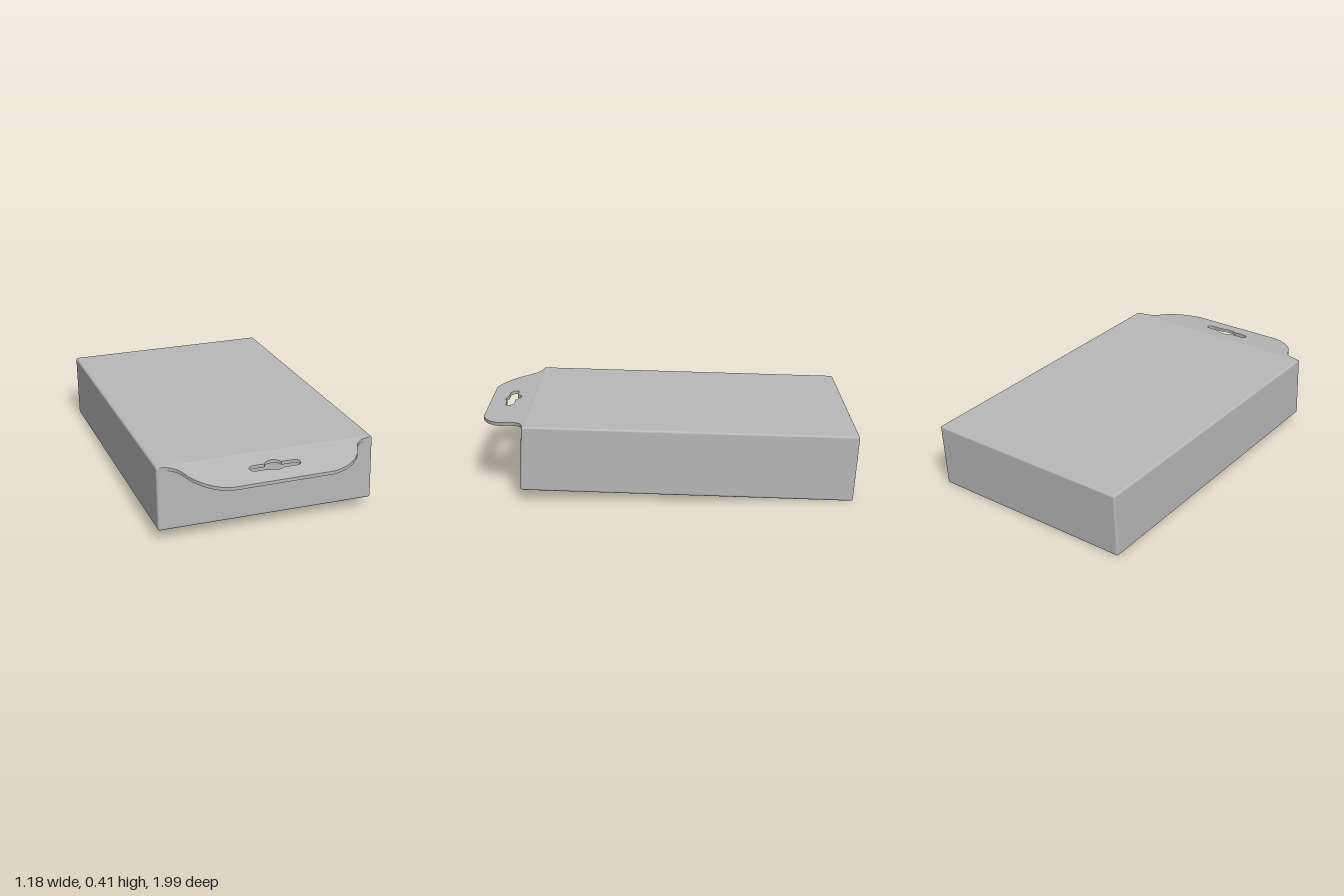
import * as THREE from 'three';
import { RoundedBoxGeometry } from 'three/addons/geometries/RoundedBoxGeometry.js';

const mix = THREE.MathUtils.lerp;

// Move every vertex of a geometry by a rule
function warp(geometry, rule) {
  const p = geometry.attributes.position;
  const v = new THREE.Vector3();
  for (let i = 0; i < p.count; i++) {
    v.fromBufferAttribute(p, i);
    rule(v);
    p.setXYZ(i, v.x, v.y, v.z);
  }
  return geometry;
}

// Carton: a softly rounded box, tilted up at the front and slightly skewed
function cartonGeometry() {
  const w = 1.165, h = 0.35, d = 1.745;
  return warp(new RoundedBoxGeometry(w, h, d, 3, 0.012), (v) => {
    const t = v.y / h + 0.5;   // 0 bottom, 1 top
    const f = v.z / d + 0.5;   // 0 back, 1 front
    v.x += mix(-0.009, 0.006, f);
    v.y = mix(mix(0.004, 0.068, f), mix(0.36, 0.415, f), t);
    v.z = mix(mix(-0.975, -0.998, t), mix(0.766, 0.75, t), f);
  });
}

// Hang tab: S-curved outline with a hanger slot, sloping down to the front
function tabGeometry() {
  const shape = new THREE.Shape();
  shape.moveTo(-0.57, 0.735);
  shape.lineTo(-0.56, 0.748);
  shape.bezierCurveTo(-0.49, 0.755, -0.47, 0.79, -0.445, 0.85);
  shape.bezierCurveTo(-0.41, 0.92, -0.35, 0.975, -0.27, 0.994);
  shape.lineTo(0.28, 0.988);
  shape.bezierCurveTo(0.37, 0.965, 0.43, 0.915, 0.46, 0.85);
  shape.bezierCurveTo(0.48, 0.79, 0.5, 0.755, 0.575, 0.748);
  shape.lineTo(0.58, 0.735);
  shape.closePath();

  const slot = new THREE.Path();
  slot.moveTo(-0.11, 0.845);
  slot.lineTo(-0.045, 0.845);
  slot.bezierCurveTo(-0.025, 0.81, 0.03, 0.81, 0.045, 0.845);
  slot.lineTo(0.115, 0.845);
  slot.bezierCurveTo(0.147, 0.85, 0.147, 0.885, 0.115, 0.892);
  slot.lineTo(0.045, 0.892);
  slot.quadraticCurveTo(0, 0.918, -0.045, 0.892);
  slot.lineTo(-0.11, 0.892);
  slot.bezierCurveTo(-0.142, 0.885, -0.142, 0.85, -0.11, 0.845);
  shape.holes.push(slot);

  const g = new THREE.ExtrudeGeometry(shape, { depth: 0.018, bevelEnabled: false, curveSegments: 12 });
  g.rotateX(Math.PI / 2);
  warp(g, (v) => { v.y += 0.414 - 0.15 * (v.z - 0.735); });
  g.computeVertexNormals();
  return g;
}

export function createModel() {
  const card = new THREE.MeshStandardMaterial({ color: 0xb8b8b8 });
  card.name = 'grey card';

  const group = new THREE.Group();
  group.name = 'hangingCarton';
  const add = (name, geometry) => {
    const mesh = new THREE.Mesh(geometry, card);
    mesh.name = name;
    group.add(mesh);
  };
  add('carton', cartonGeometry());
  add('hangTab', tabGeometry());
  return group;
}
